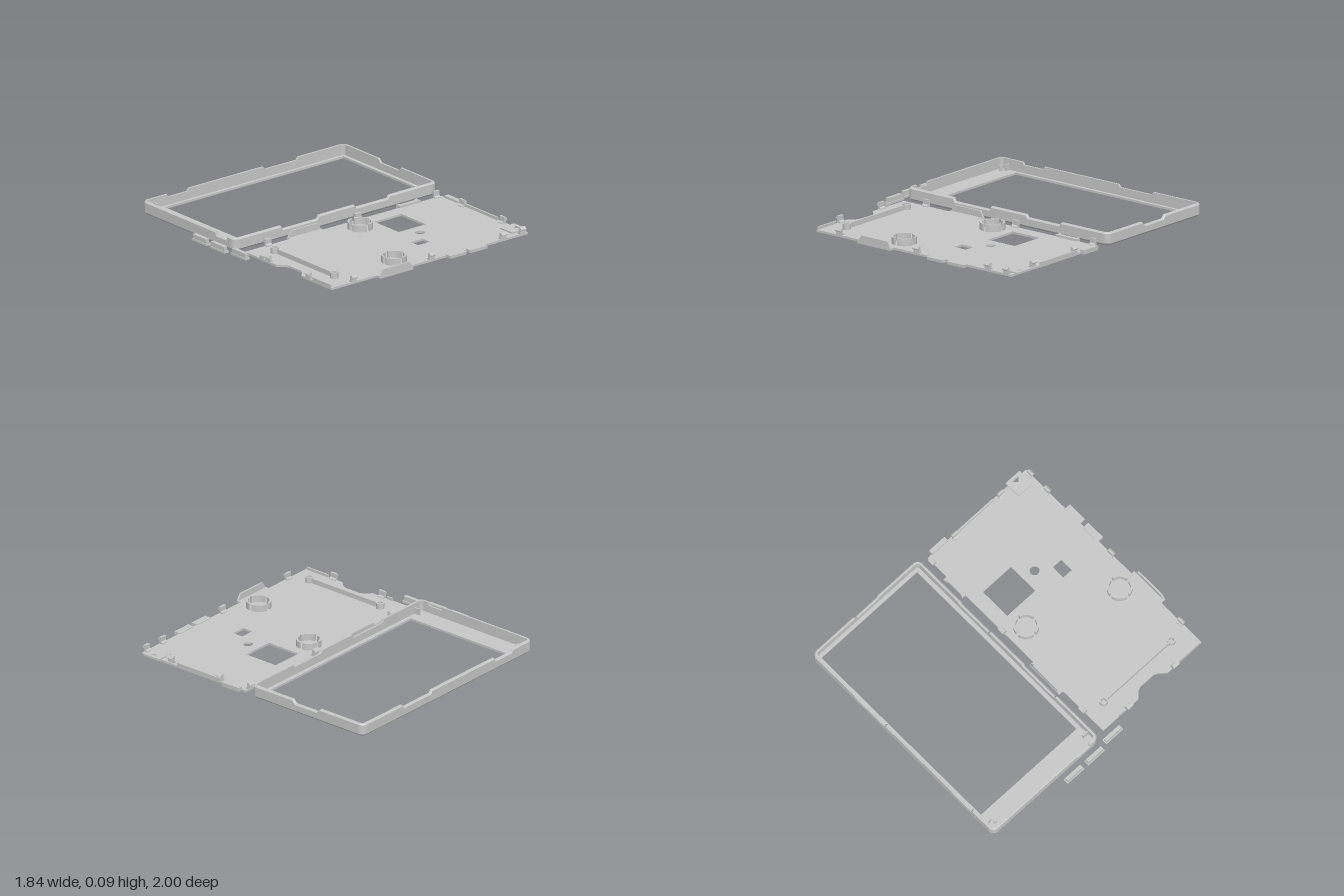
import * as THREE from 'three';

const grey = new THREE.MeshStandardMaterial({ color: 0xc6c6c6 });
grey.name = 'grey plastic';

// outline in x,z, turned into a shape lying on the ground plane
const path = (pts, Type = THREE.Shape) => {
  const s = new Type();
  pts.forEach(([x, z], i) => (i ? s.lineTo(x, -z) : s.moveTo(x, -z)));
  s.closePath();
  return s;
};
const rect = (x0, z0, x1, z1) => [[x0, z0], [x1, z0], [x1, z1], [x0, z1]];
const circle = (x, z, r, n = 24) =>
  Array.from({ length: n }, (_, i) => [x + r * Math.cos(i / n * 2 * Math.PI), z + r * Math.sin(i / n * 2 * Math.PI)]);

export function createModel() {
  const model = new THREE.Group();
  const frame = new THREE.Group(), panel = new THREE.Group(), loose = new THREE.Group();
  frame.name = 'screenFrame'; panel.name = 'backPanel'; loose.name = 'looseButtons';
  model.add(frame, panel, loose);

  const add = (group, name, geo) => {
    const m = new THREE.Mesh(geo, grey);
    m.name = name;
    group.add(m);
  };
  // flat plate; holes run opposite to the outline so their sides face inwards
  const slab = (group, name, pts, holes, y0, y1) => {
    const s = path(pts);
    s.holes = holes.map(h => path([...h].reverse(), THREE.Path));
    const g = new THREE.ExtrudeGeometry(s, { depth: y1 - y0, bevelEnabled: false });
    add(group, name, g.rotateX(-Math.PI / 2).translate(0, y0, 0));
  };
  const box = (group, name, x0, x1, y0, y1, z0, z1) => {
    const g = new THREE.BoxGeometry(x1 - x0, y1 - y0, z1 - z0);
    add(group, name, g.translate((x0 + x1) / 2, (y0 + y1) / 2, (z0 + z1) / 2));
  };

  // ---- Frame: a wall profile swept round a rounded rectangle, with notched rim
  const X0 = -0.845, X1 = 0.912, Z0 = -1, Z1 = -0.018, R = 0.045, H = 0.09;
  const stations = []; // x, z, outward normal, rim height
  const corner = (cx, cz, a0) => {
    for (let i = 0; i <= 6; i++) {
      const a = a0 + i / 6 * Math.PI / 2, c = Math.cos(a), s = Math.sin(a);
      stations.push([cx + R * c, cz + R * s, c, s, H]);
    }
  };
  const notch = (a, b, low, slope, put) => {
    const d = Math.sign(b - a) * slope;
    put(a, H); put(a + d, low); put(b - d, low); put(b, H);
  };
  const onX = (z, n) => (x, h) => stations.push([x, z, 0, n, h]);
  const onZ = (x, n) => (z, h) => stations.push([x, z, n, 0, h]);
  corner(X1 - R, Z1 - R, 0);
  notch(0.5, 0.195, 0.07, 0.015, onX(Z1, 1));
  notch(-0.11, -0.44, 0.065, 0.015, onX(Z1, 1));
  corner(X0 + R, Z1 - R, Math.PI / 2);
  notch(-0.1, -0.22, 0.065, 0.005, onZ(X0, -1));
  corner(X0 + R, Z0 + R, Math.PI);
  notch(-0.64, -0.45, 0.07, 0.01, onX(Z0, -1));
  notch(0.195, 0.5, 0.07, 0.015, onX(Z0, -1));
  corner(X1 - R, Z0 + R, Math.PI * 1.5);
  notch(-0.62, -0.38, 0.065, 0.025, onZ(X1, 1));

  const section = ([x, z, nx, nz, h]) =>
    [[0.015, 0], [0, 0.015], [0, h - 0.008], [0.008, h], [0.022, h], [0.022, 0.01]]
      .map(([d, y]) => [x - nx * d, y, z - nz * d]);
  const pos = [];
  stations.forEach((st, i) => {
    const a = section(st), b = section(stations[(i + 1) % stations.length]);
    a.forEach((p, k) => {
      const n = (k + 1) % a.length;
      pos.push(...p, ...a[n], ...b[n], ...p, ...b[n], ...b[k]);
    });
  });
  const wall = new THREE.BufferGeometry();
  wall.setAttribute('position', new THREE.Float32BufferAttribute(pos, 3));
  wall.computeVertexNormals();
  add(frame, 'frameWall', wall);

  // bezel floor with the screen opening, corner ribs and a locating pin
  const floor = stations.map(([x, z, nx, nz]) => [x - nx * 0.015, z - nz * 0.015]);
  slab(frame, 'bezelFloor', floor, [rect(-0.68, -0.955, 0.865, -0.07)], 0, 0.015);
  for (const z of [-0.98, -0.085])
    box(frame, 'cornerRib', -0.76, -0.75, 0.012, 0.06, z, z + 0.045);
  slab(frame, 'cornerPin', circle(-0.782, -0.922, 0.012, 12), [], 0.012, 0.05);

  // ---- Back panel plate with its cut-outs
  const arrow = [[0.855, 0.86], [0.888, 0.83], [0.888, 0.89]];
  slab(panel, 'panelPlate',
    [[-0.812, 0.05], [0.888, 0.05], [0.888, 0.96], [-0.812, 0.96], [-0.812, 0.645],
      [-0.768, 0.595], [-0.757, 0.57], [-0.757, 0.445], [-0.768, 0.42], [-0.812, 0.375]],
    [rect(0.222, 0.15, 0.458, 0.41), circle(0.328, 0.505, 0.033), rect(0.16, 0.61, 0.263, 0.688), arrow], 0, 0.015);
  slab(panel, 'cardSlotPad', rect(0.785, 0.792, 0.91, 0.92), [arrow], 0.01, 0.025);

  // split ring holders
  for (const [cx, cz] of [[0.075, 0.185], [-0.16, 0.825]])
    for (let q = 0; q < 4; q++) {
      const pts = [];
      const arc = (r, i) => {
        const a = q * Math.PI / 2 + 0.13 + i / 8 * (Math.PI / 2 - 0.26);
        pts.push([cx + r * Math.cos(a), cz + r * Math.sin(a)]);
      };
      for (let i = 0; i <= 8; i++) arc(0.086, i);
      for (let i = 8; i >= 0; i--) arc(0.072, i);
      slab(panel, 'ringSegment', pts, [], 0.012, 0.063);
    }

  // two hollow posts joined by a rib
  for (const z of [0.19, 0.815])
    slab(panel, 'post', circle(-0.67, z, 0.028), [circle(-0.67, z, 0.018)], 0.012, 0.055);
  box(panel, 'postRib', -0.675, -0.665, 0.012, 0.05, 0.217, 0.788);

  // snap clips: upright stem with a sloped hook pointing outwards
  const clipSide = [[-0.02, 0.01], [0.006, 0.01], [0.006, 0.036], [0.02, 0.044], [0.02, 0.05], [0.008, 0.062], [-0.008, 0.062], [-0.008, 0.03], [-0.02, 0.02]];
  const clip = (x, z, turn, w = 0.05) => {
    const s = new THREE.Shape(clipSide.map(p => new THREE.Vector2(...p)));
    const g = new THREE.ExtrudeGeometry(s, { depth: w, bevelEnabled: false });
    add(panel, 'snapClip', g.translate(0, 0, -w / 2).rotateY(turn - Math.PI / 2).translate(x, 0, z));
  };
  for (const x of [-0.615, 0.165]) clip(x, 0.05, Math.PI);
  for (const x of [-0.615, 0.06, 0.68]) clip(x, 0.955, 0);
  for (const z of [0.05, 0.955]) clip(0.842, z, z < 0.5 ? Math.PI : 0, 0.045);
  for (const z of [0.29, 0.715]) {
    clip(-0.81, z, -Math.PI / 2);
    clip(0.873, z, Math.PI / 2);
  }

  // edge plugs that fill the rim notches: foot and tapered upright
  const plug = (x0, x1, edge, out, h) => {
    box(panel, 'plugFoot', x0, x1, 0, 0.015, Math.min(edge, out), Math.max(edge, out));
    const s = new THREE.Shape([[x0, 0.012], [x1, 0.012], [x1 - 0.03, h], [x0 + 0.03, h]].map(p => new THREE.Vector2(...p)));
    const g = new THREE.ExtrudeGeometry(s, { depth: 0.012, bevelEnabled: false });
    add(panel, 'plugTab', g.translate(0, 0, out > edge ? out - 0.014 : out + 0.002));
  };
  plug(-0.422, -0.135, 0.06, 0.015, 0.06);
  plug(-0.422, -0.135, 0.95, 0.998, 0.06);
  for (const [x0, x1] of [[0.185, 0.325], [0.36, 0.505]])
    box(panel, 'frontLip', x0, x1, 0, 0.02, 0.95, 1);
  slab(panel, 'rearLip', [[0.52, 0.06], [0.52, 0.018], [0.55, 0.03], [0.66, 0.03], [0.7, 0.018], [0.7, 0.06]], [], 0, 0.03);
  box(panel, 'sideLip', 0.88, 0.915, 0, 0.03, 0.09, 0.232);
  box(panel, 'sideRail', 0.876, 0.888, 0.01, 0.035, 0.27, 0.65);
  for (const [z0, z1] of [[0.2, 0.245], [0.76, 0.95]])
    box(panel, 'leftRail', -0.812, -0.803, 0.01, 0.035, z0, z1);

  // ---- Loose button bars: flange and raised key
  for (const [x, z] of [[-0.9, -0.305], [-0.9, -0.115], [-0.875, 0.077]]) {
    box(loose, 'buttonFlange', x - 0.02, x + 0.02, 0, 0.014, z - 0.077, z + 0.077);
    box(loose, 'buttonKey', x - 0.015, x + 0.012, 0.01, 0.045, z - 0.07, z + 0.07);
  }
  return model;
}
